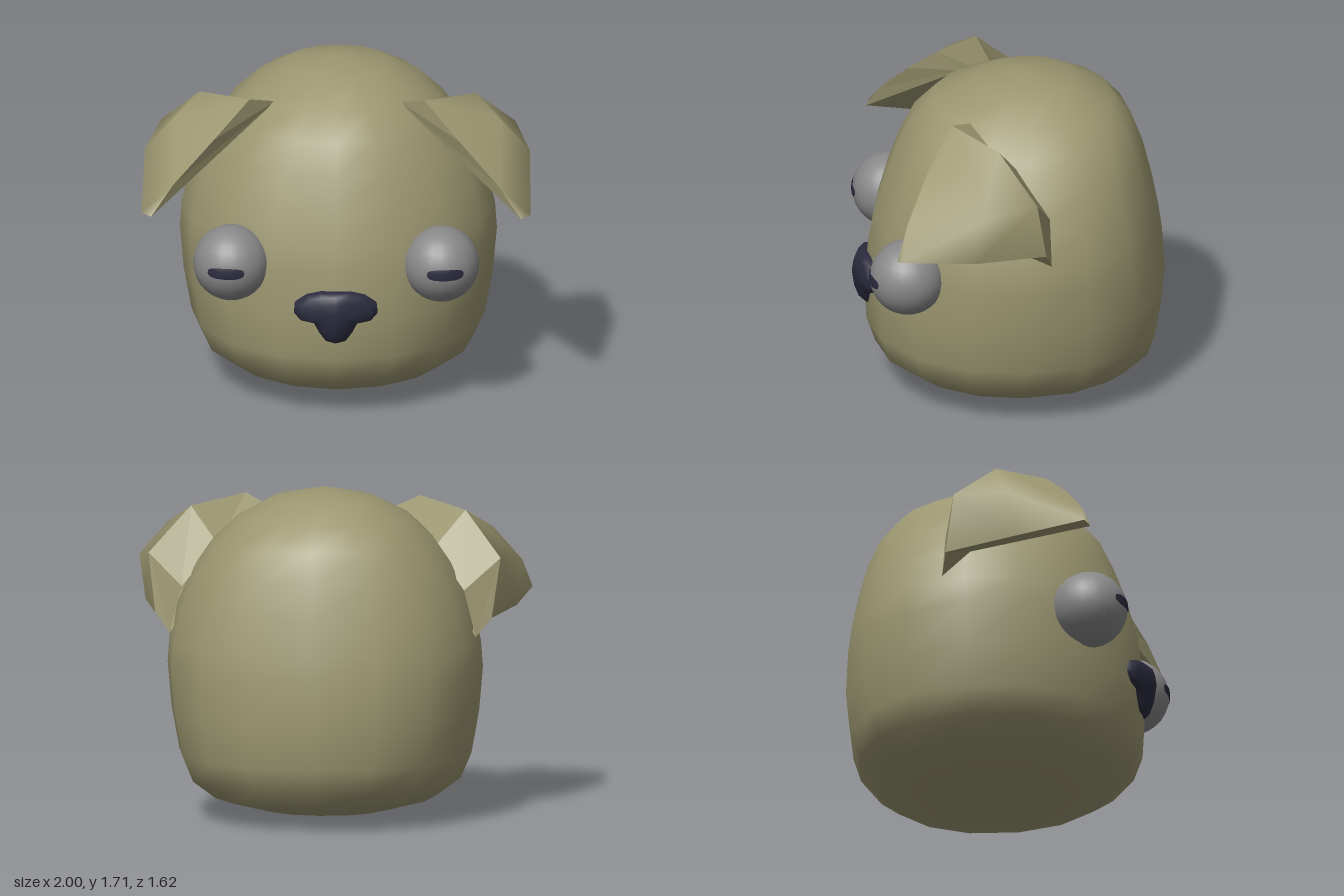
import * as THREE from 'three';

const mat = (name, color, side = THREE.FrontSide) => {
  const m = new THREE.MeshStandardMaterial({ color, side });
  m.name = name;
  return m;
};

const named = (name, geometry, material) => {
  const m = new THREE.Mesh(geometry, material);
  m.name = name;
  return m;
};

const signedPow = (v, e) => Math.sign(v) * Math.abs(v) ** e;

function fromPoints(points, index, flat = false) {
  let g = new THREE.BufferGeometry();
  g.setAttribute('position', new THREE.Float32BufferAttribute(points.flat(), 3));
  g.setIndex(index);
  if (flat) g = g.toNonIndexed();
  g.computeVertexNormals();
  return g;
}

// Head: rounded rings between two poles, squarer at the back than at the front
function headGeometry() {
  const rings = [ // y, half width, front z, back z
    [0.04, 0.33, 0.30, -0.37], [0.11, 0.58, 0.57, -0.63], [0.20, 0.70, 0.69, -0.74],
    [0.33, 0.755, 0.735, -0.78], [0.55, 0.795, 0.745, -0.805], [0.78, 0.815, 0.725, -0.79],
    [0.92, 0.805, 0.70, -0.77], [1.10, 0.76, 0.65, -0.735], [1.28, 0.68, 0.585, -0.69],
    [1.44, 0.57, 0.51, -0.63], [1.56, 0.44, 0.40, -0.53], [1.66, 0.26, 0.16, -0.34],
  ];
  const N = 16, pts = [[0, 0, -0.04]], idx = [];
  for (const [y, w, f, b] of rings)
    for (let i = 0; i < N; i++) {
      const a = i / N * Math.PI * 2, c = Math.cos(a), e = c > 0 ? 1 : 0.9;
      pts.push([w * signedPow(Math.sin(a), e), y, (f + b) / 2 + (f - b) / 2 * signedPow(c, e)]);
    }
  pts.push([0, 1.71, -0.08]);
  const top = pts.length - 1, last = top - N;
  for (let i = 0; i < N; i++) {
    const j = (i + 1) % N;
    idx.push(0, 1 + j, 1 + i, last + i, last + j, top);
    for (let r = 0; r < rings.length - 1; r++) {
      const a = 1 + r * N + i, b = 1 + r * N + j;
      idx.push(a, b, b + N, a, b + N, a + N);
    }
  }
  return fromPoints(pts, idx);
}

// Folded ear: curved outer flap, flat back rim and hollow underside
function ear(side, material) {
  const A = [0.45, 1.61, 0.33], B = [0.71, 1.57, 0.11], C = [0.91, 1.35, -0.07], D = [0.87, 1.045, -0.12];
  const G = [0.63, 1.44, 0.47], H = [0.84, 1.235, 0.595], T = [0.95, 1.085, 0.655];
  const N = [0.84, 1.47, 0.22], M = [0.99, 1.30, 0.23], F = [0.96, 1.06, 0.25], E = [1.0, 1.10, 0.635];
  const K = [0.84, 1.05, 0];
  const inner = [[0.32, 1.56, 0.22], [0.56, 1.39, 0.0], [0.73, 1.19, -0.15], [0.79, 0.95, -0.155]];
  const [A2, , , D2] = inner, outer = [A, B, C, D];
  const mirror = (pts, idx, flat) => fromPoints(
    pts.map(([x, y, z]) => [side * x, y, z]), side > 0 ? idx : [...idx].reverse(), flat);

  const flap = [0, 2, 1, 0, 3, 2, 6, 10, 9];
  for (const r of [1, 4])
    for (const a of [r, r + 1]) flap.push(a, a + 1, a + 4, a, a + 4, a + 3);

  const rim = [];
  for (let i = 0; i < 3; i++) rim.push(i, i + 1, i + 5, i, i + 5, i + 4);

  const under = [A2, G, A, A2, H, G, A2, T, H, A2, K, T, A2, D2, K, D2, D, K, K, D, F, K, F, E, K, E, T];
  const g = new THREE.Group();
  g.name = side > 0 ? 'leftEar' : 'rightEar';
  g.add(
    named('earFlap', mirror([A, B, N, G, C, M, H, D, F, E, T], flap), material),
    named('earRim', mirror([...outer, ...inner], rim, true), material),
    named('earUnderside', mirror(under, under.map((_, i) => i), true), material));
  return g;
}

// Eye ball with a thin slit pupil wrapped on its front
function eye(side, white, dark) {
  const g = new THREE.Group();
  g.name = side > 0 ? 'leftEye' : 'rightEye';
  g.position.set(side * 0.54, 0.805, 0.567);
  g.add(named('eyeball', new THREE.SphereGeometry(0.196, 24, 16), white));
  const slit = new THREE.RingGeometry(0.001, 1, 16, 4), p = slit.attributes.position;
  for (let i = 0; i < p.count; i++) {
    const x = side * 0.024 + 0.095 * signedPow(p.getX(i), 0.7);
    const y = 0.006 + 0.03 * signedPow(p.getY(i), 0.7);
    p.setXYZ(i, x, y, Math.sqrt(0.2 ** 2 - x * x - y * y));
  }
  slit.computeVertexNormals();
  g.add(named('pupil', slit, dark));
  return g;
}

// Nose: rings shrinking from the outline to a peaked centre, swept back at the sides
function noseGeometry() {
  const half = [[0, 0.43], [0.05, 0.44], [0.085, 0.49], [0.11, 0.54], [0.18, 0.55], [0.215, 0.59],
    [0.21, 0.64], [0.15, 0.685], [0.08, 0.705], [0, 0.71]];
  const outline = [...half, ...half.slice(1, -1).reverse().map(([x, y]) => [-x, y])];
  const n = outline.length, pts = [], idx = [];
  const rings = [[1, -0.06], [1, -0.025], [0.85, -0.008], [0.5, -0.002]]; // scale, depth
  for (const [s, dz] of rings)
    for (const [x, y] of outline) {
      const dx = x * s, dy = (y - 0.6) * s;
      pts.push([dx, 0.6 + dy, 0.808 + dz - 0.28 * Math.abs(dx) - 1.2 * dy * dy]);
    }
  pts.push([0, 0.6, 0.81]);
  for (let i = 0; i < n; i++) {
    const j = (i + 1) % n;
    for (let r = 0; r < 3; r++) {
      const a = r * n + i, b = r * n + j;
      idx.push(a, b, b + n, a, b + n, a + n);
    }
    idx.push(3 * n + i, 3 * n + j, 4 * n);
  }
  return fromPoints(pts, idx);
}

export function createModel() {
  const fur = mat('olive fur', 0x9b9670, THREE.DoubleSide);
  const grey = mat('eye grey', 0x888888);
  const dark = mat('dark navy', 0x2b2b3e, THREE.DoubleSide);
  const model = new THREE.Group();
  model.name = 'animalHead';
  model.add(named('head', headGeometry(), fur), named('nose', noseGeometry(), dark));
  for (const side of [1, -1]) model.add(ear(side, fur), eye(side, grey, dark));
  return model;
}
